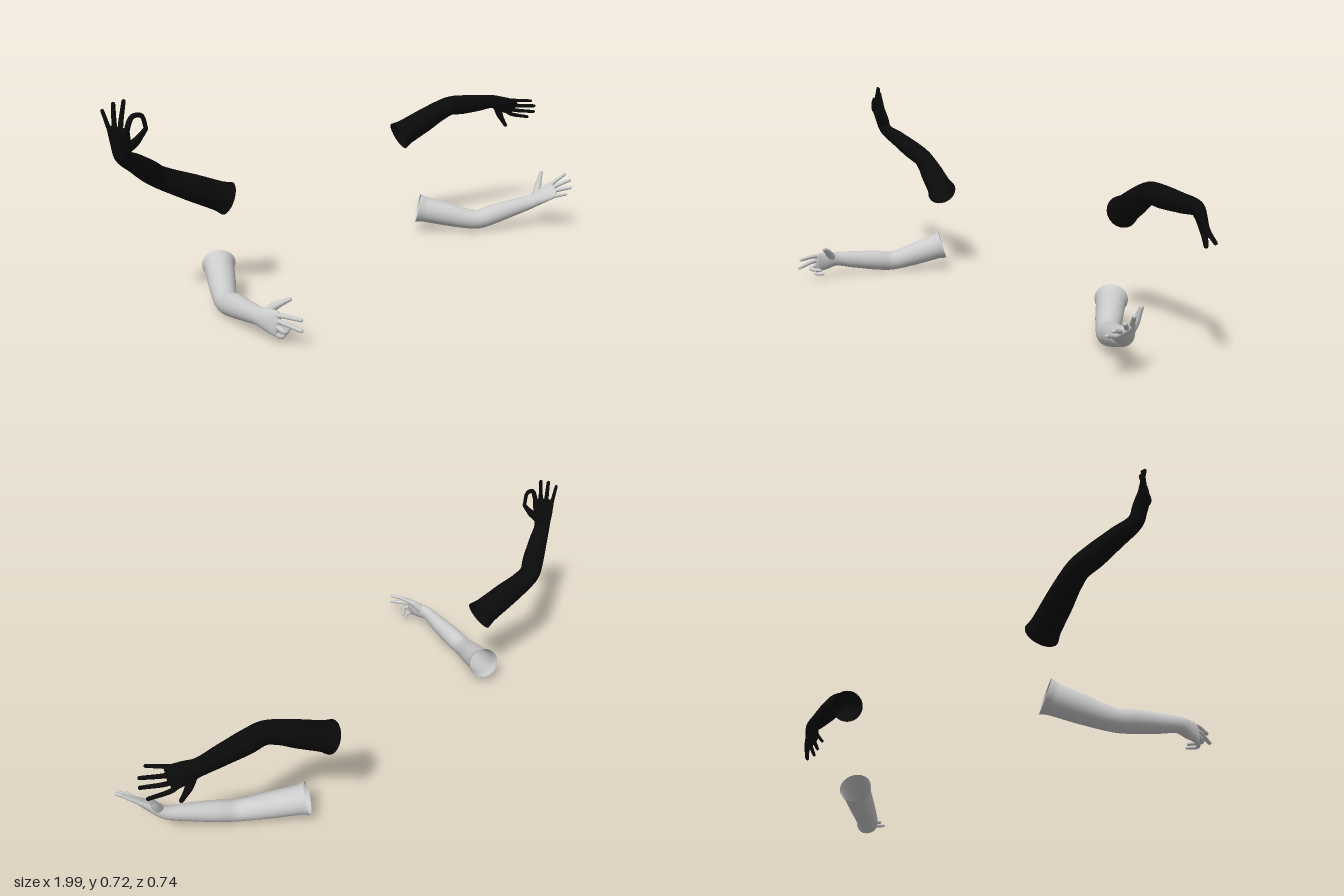
import * as THREE from 'three';

const vec = (p) => new THREE.Vector3(...p);
const mix = (a, b, t) => a.clone().lerp(b, t);

// Smooth skin over elliptical sections: radii are [wide, thick], wide lies along `side`
function loft(points, radii, side, steps, sides) {
  const path = new THREE.CatmullRomCurve3(points);
  const size = new THREE.CatmullRomCurve3(radii.map(([a, b]) => new THREE.Vector3(a, b, 0)), false, 'catmullrom', 0.4);
  const pos = [], index = [], rings = [];
  for (let i = 0; i <= steps; i++) rings.push([i / steps, 1, 0]);
  // rounded tip
  for (let i = 1; i <= 4; i++) {
    const a = (i / 4) * Math.PI / 2;
    rings.push([1, Math.max(Math.cos(a), 0.001), Math.sin(a)]);
  }
  for (const [t, shrink, push] of rings) {
    const s = size.getPoint(t), d = path.getTangent(t);
    const w = side.clone().addScaledVector(d, -side.dot(d)).normalize();
    const n = d.clone().cross(w);
    const c = path.getPoint(t).addScaledVector(d, push * s.y);
    for (let k = 0; k < sides; k++) {
      const a = (k / sides) * Math.PI * 2;
      const p = c.clone().addScaledVector(w, Math.cos(a) * s.x * shrink)
        .addScaledVector(n, Math.sin(a) * s.y * shrink);
      pos.push(p.x, p.y, p.z);
    }
  }
  for (let r = 0; r < rings.length - 1; r++) {
    for (let k = 0; k < sides; k++) {
      const a = r * sides + k, b = r * sides + (k + 1) % sides;
      index.push(a, b, a + sides, b, b + sides, a + sides);
    }
  }
  const g = new THREE.BufferGeometry();
  g.setAttribute('position', new THREE.Float32BufferAttribute(pos, 3));
  g.setIndex(index);
  g.computeVertexNormals();
  return g;
}

// joints: shoulder, elbow, wrist, index knuckle, little knuckle.
// fingers: index to little, each a tip or a few bends ending in the tip
function buildArm(name, color, joints, fingers, thumbTip) {
  const group = new THREE.Group();
  group.name = name;
  const material = new THREE.MeshStandardMaterial({ color, side: THREE.DoubleSide });
  const add = (part, geometry) => {
    const m = new THREE.Mesh(geometry, material);
    m.name = part;
    group.add(m);
  };
  const [S, E, W, first, last] = joints.map(vec);
  const side = last.clone().sub(first).normalize();
  const K = mix(first, last, 0.5);
  const forward = K.clone().sub(W).normalize();
  const palmNormal = forward.clone().cross(side).normalize();

  // arm and palm in one skin, open and flared at the shoulder
  add('armAndPalm', loft(
    [S, mix(S, E, 0.14), mix(S, E, 0.5), mix(S, E, 0.84), mix(E, W, 0.06), mix(E, W, 0.32), mix(E, W, 0.68), W,
      mix(W, K, 0.5), mix(W, K, 0.95)],
    [[0.057, 0.057], [0.05, 0.05], [0.046, 0.046], [0.04, 0.04], [0.038, 0.037], [0.039, 0.037],
      [0.034, 0.031], [0.029, 0.023], [0.036, 0.019], [0.04, 0.012]],
    side, 72, 28));

  // fingers, rooted inside the palm on a slightly arched knuckle row
  ['indexFinger', 'middleFinger', 'ringFinger', 'littleFinger'].forEach((part, i) => {
    const arch = i % 3 ? 0.008 : 0;
    const knuckle = mix(first, last, i / 3).addScaledVector(forward, arch);
    const points = [mix(knuckle, W, 0.22), knuckle, ...fingers[i].map(vec)];
    const r = i === 3 ? 0.0075 : 0.0085;
    const radii = points.map((_, k) => {
      const s = r * (1.15 - 0.4 * k / (points.length - 1));
      return [s, s];
    });
    add(part, loft(points, radii, side, 18, 12));
  });

  // thumb with a fleshy root, bowed away from the palm
  const root = mix(W, first, 0.2), tip = vec(thumbTip);
  const bow = (t, d) => mix(root, tip, t).addScaledVector(side, -d);
  add('thumb', loft([root, bow(0.4, 0.01), bow(0.72, 0.006), tip],
    [[0.018, 0.018], [0.0135, 0.0135], [0.0095, 0.0095], [0.0075, 0.0075]], palmNormal, 18, 14));
  return group;
}

export function createModel() {
  const model = new THREE.Group();
  model.name = 'fourArms';
  const black = 0x0a0a0a, grey = 0xcccccc;

  // raised arm, index finger and thumb closed in a ring
  model.add(buildArm('rightUpperArm', black,
    [[-0.535, 0.335, -0.205], [-0.755, 0.435, -0.265], [-0.935, 0.55, -0.187], [-0.947, 0.642, -0.135], [-0.972, 0.64, -0.195]],
    [[[-0.93, 0.68, -0.13], [-0.9, 0.68, -0.126], [-0.884, 0.638, -0.13]],
      [[-0.941, 0.725, -0.155]], [[-0.966, 0.718, -0.173]], [[-0.992, 0.698, -0.194]]],
    [-0.885, 0.636, -0.13]));

  // outstretched arm, fingers spread
  model.add(buildArm('leftUpperArm', black,
    [[0.4, 0.39, -0.32], [0.6, 0.495, -0.245], [0.845, 0.487, -0.208], [0.927, 0.428, -0.175], [0.912, 0.492, -0.141]],
    [[[0.988, 0.413, -0.138]], [[0.99, 0.439, -0.107]], [[0.981, 0.466, -0.098]], [[0.952, 0.492, -0.094]]],
    [0.906, 0.382, -0.188]));

  // forward arm, last two fingers curled
  model.add(buildArm('rightLowerArm', grey,
    [[-0.565, 0.107, -0.225], [-0.667, 0.043, -0.055], [-0.72, 0.075, 0.185], [-0.712, 0.1, 0.285], [-0.722, 0.044, 0.265]],
    [[[-0.692, 0.1, 0.355]], [[-0.696, 0.068, 0.36]],
      [[-0.712, 0.052, 0.303], [-0.678, 0.049, 0.28]], [[-0.71, 0.031, 0.284], [-0.68, 0.032, 0.268]]],
    [-0.663, 0.135, 0.268]));

  // open hand, palm up
  model.add(buildArm('leftLowerArm', grey,
    [[0.435, 0.1, -0.245], [0.597, 0.05, -0.08], [0.808, 0.112, 0.04], [0.886, 0.186, 0.088], [0.847, 0.141, 0.122]],
    [[[0.921, 0.219, 0.116]], [[0.916, 0.201, 0.146]], [[0.892, 0.178, 0.168]], [[0.864, 0.156, 0.168]]],
    [0.869, 0.222, 0.037]));
  return model;
}
